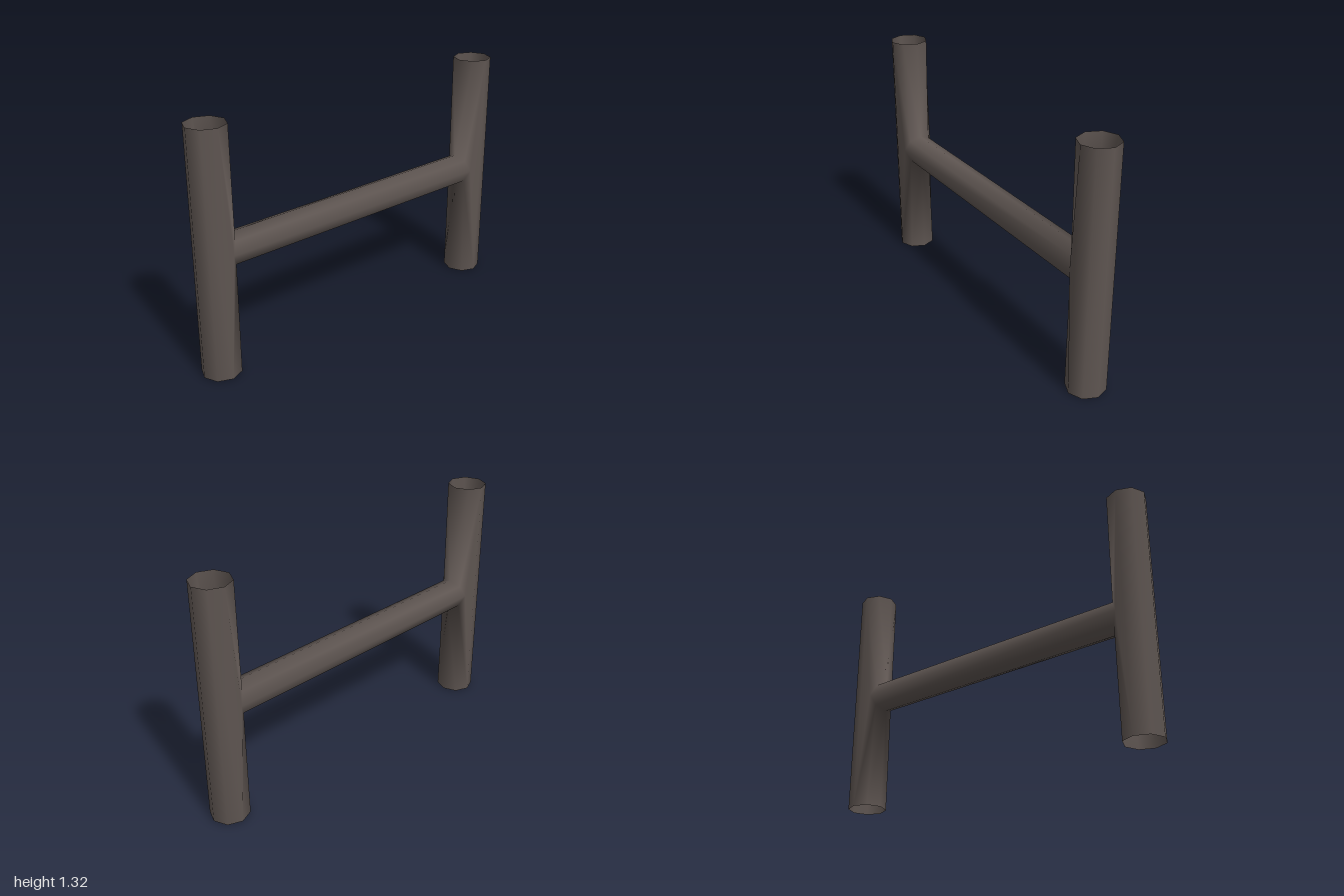
import * as THREE from 'three';
import { mergeVertices } from 'three/addons/utils/BufferGeometryUtils.js';

const POST_R = 0.105, POST_Z = 0.895, HEIGHT = 1.323;
const BAR_R = 0.087, BAR_Y = HEIGHT / 2;

// point i of the post's octagon: 0 = side, 2 = inner face, -2 = outer face
function postPoint(i, y) {
  const a = i * Math.PI / 4;
  return [POST_R * Math.cos(a), y, POST_Z - POST_R * Math.sin(a)];
}

// point i of the crossbar's octagon where it meets the round post: 0 = side, 2 = top
function jointPoint(i) {
  const a = i * Math.PI / 4, x = BAR_R * Math.cos(a);
  return [x, BAR_Y + BAR_R * Math.sin(a), POST_Z - Math.sqrt(POST_R * POST_R - x * x)];
}

const opposite = ([x, y, z]) => [x, y, -z];

function frameGeometry() {
  const positions = [];
  // mirror one octant of the frame into all eight
  for (const sx of [1, -1]) for (const sy of [1, -1]) for (const sz of [1, -1]) {
    const tri = (a, b, c) => {
      const corners = sx * sy * sz > 0 ? [a, b, c] : [a, c, b];
      for (const [x, y, z] of corners) {
        positions.push(sx * x, BAR_Y + sy * (y - BAR_Y), sz * z);
      }
    };
    const quad = (a, b, c, d) => { tri(a, b, c); tri(a, c, d); };

    // inner post wall running from the open rim down to the joint
    for (let i = 0; i < 2; i++) {
      quad(postPoint(i, HEIGHT), jointPoint(i), jointPoint(i + 1), postPoint(i + 1, HEIGHT));
    }
    // full-height outer post wall and the side gusset beside the joint
    if (sy > 0) {
      for (let i = -2; i < 0; i++) {
        quad(postPoint(i, HEIGHT), postPoint(i, 0), postPoint(i + 1, 0), postPoint(i + 1, HEIGHT));
      }
      tri(postPoint(0, HEIGHT), postPoint(0, 0), jointPoint(0));
    }
    // crossbar from joint to joint
    if (sz > 0) {
      for (let i = 0; i < 2; i++) {
        const a = jointPoint(i), b = jointPoint(i + 1);
        quad(a, opposite(a), opposite(b), b);
      }
    }
  }
  const geometry = new THREE.BufferGeometry();
  geometry.setAttribute('position', new THREE.Float32BufferAttribute(positions, 3));
  const welded = mergeVertices(geometry, 1e-4);
  welded.computeVertexNormals();
  return welded;
}

export function createModel() {
  const group = new THREE.Group();
  group.name = 'pipeFrame';
  const metal = new THREE.MeshStandardMaterial({ color: 0x5e5551, side: THREE.DoubleSide });
  metal.name = 'dark metal';
  // two open posts and their crossbar, welded as one smooth skin
  const frame = new THREE.Mesh(frameGeometry(), metal);
  frame.name = 'postsAndCrossbar';
  group.add(frame);
  return group;
}
